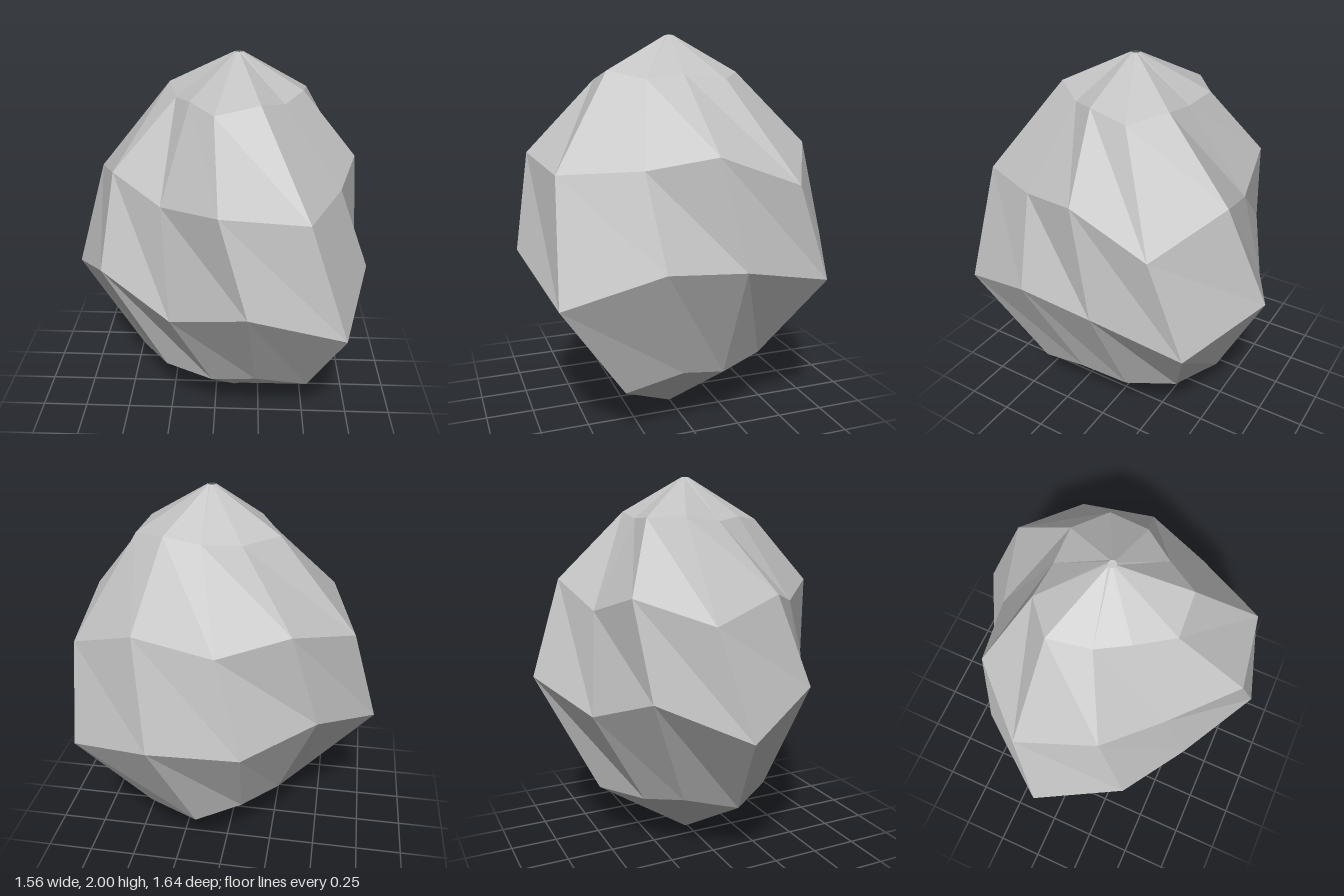
import * as THREE from 'three';

const SIDES = 11;
const AXIS_X = 0.11; // the rock's axis sits slightly off centre
const STEP = 360 / SIDES;

// Each ring from bottom to top: radii and heights, around the rock
const RINGS = [
  { r: Array(SIDES).fill(0.02), y: Array(SIDES).fill(0) },
  {
    r: [0.53, 0.48, 0.39, 0.45, 0.54, 0.45, 0.42, 0.50, 0.52, 0.40, 0.44],
    y: [0.31, 0.35, 0.30, 0.36, 0.28, 0.365, 0.31, 0.34, 0.325, 0.31, 0.35],
  },
  {
    r: [0.89, 0.78, 0.67, 0.82, 0.89, 0.72, 0.685, 0.86, 0.84, 0.67, 0.74],
    y: [0.795, 0.97, 0.81, 0.97, 0.795, 0.957, 0.925, 0.825, 0.957, 0.82, 0.955],
  },
  {
    r: [0.77, 0.655, 0.576, 0.733, 0.75, 0.59, 0.61, 0.755, 0.69, 0.57, 0.665],
    y: [1.33, 1.44, 1.36, 1.43, 1.375, 1.40, 1.46, 1.31, 1.466, 1.337, 1.44],
  },
  {
    r: [0.394, 0.314, 0.305, 0.386, 0.374, 0.297, 0.324, 0.385, 0.341, 0.29, 0.36],
    y: [1.81, 1.78, 1.80, 1.78, 1.83, 1.79, 1.82, 1.79, 1.82, 1.79, 1.80],
  },
  { r: Array(SIDES).fill(0.02), y: Array(SIDES).fill(2) },
];

// Joins the rings into a faceted skin; every ring is twisted a little further
function rockGeometry() {
  const positions = [];
  const index = [];
  RINGS.forEach((ring, i) => {
    for (let k = 0; k < SIDES; k++) {
      const a = THREE.MathUtils.degToRad(163.4 + 10.2 * i - STEP * k);
      positions.push(AXIS_X + ring.r[k] * Math.cos(a), ring.y[k], ring.r[k] * Math.sin(a));
      if (i === RINGS.length - 1) continue;
      const next = (k + 1) % SIDES;
      const a0 = i * SIDES + k, a1 = i * SIDES + next;
      const b0 = a0 + SIDES, b1 = a1 + SIDES;
      index.push(a0, a1, b0, a1, b1, b0);
    }
  });
  const indexed = new THREE.BufferGeometry();
  indexed.setAttribute('position', new THREE.Float32BufferAttribute(positions, 3));
  indexed.setIndex(index);
  const geometry = indexed.toNonIndexed();
  geometry.computeVertexNormals();
  return geometry;
}

export function createModel() {
  const group = new THREE.Group();
  group.name = 'rock';

  // Double-sided because the skin is open at both poles
  const stone = new THREE.MeshStandardMaterial({
    color: 0xc2c2c2, flatShading: true, side: THREE.DoubleSide,
  });
  stone.name = 'light grey stone';

  // Faceted boulder
  const boulder = new THREE.Mesh(rockGeometry(), stone);
  boulder.name = 'boulder';
  group.add(boulder);
  return group;
}
